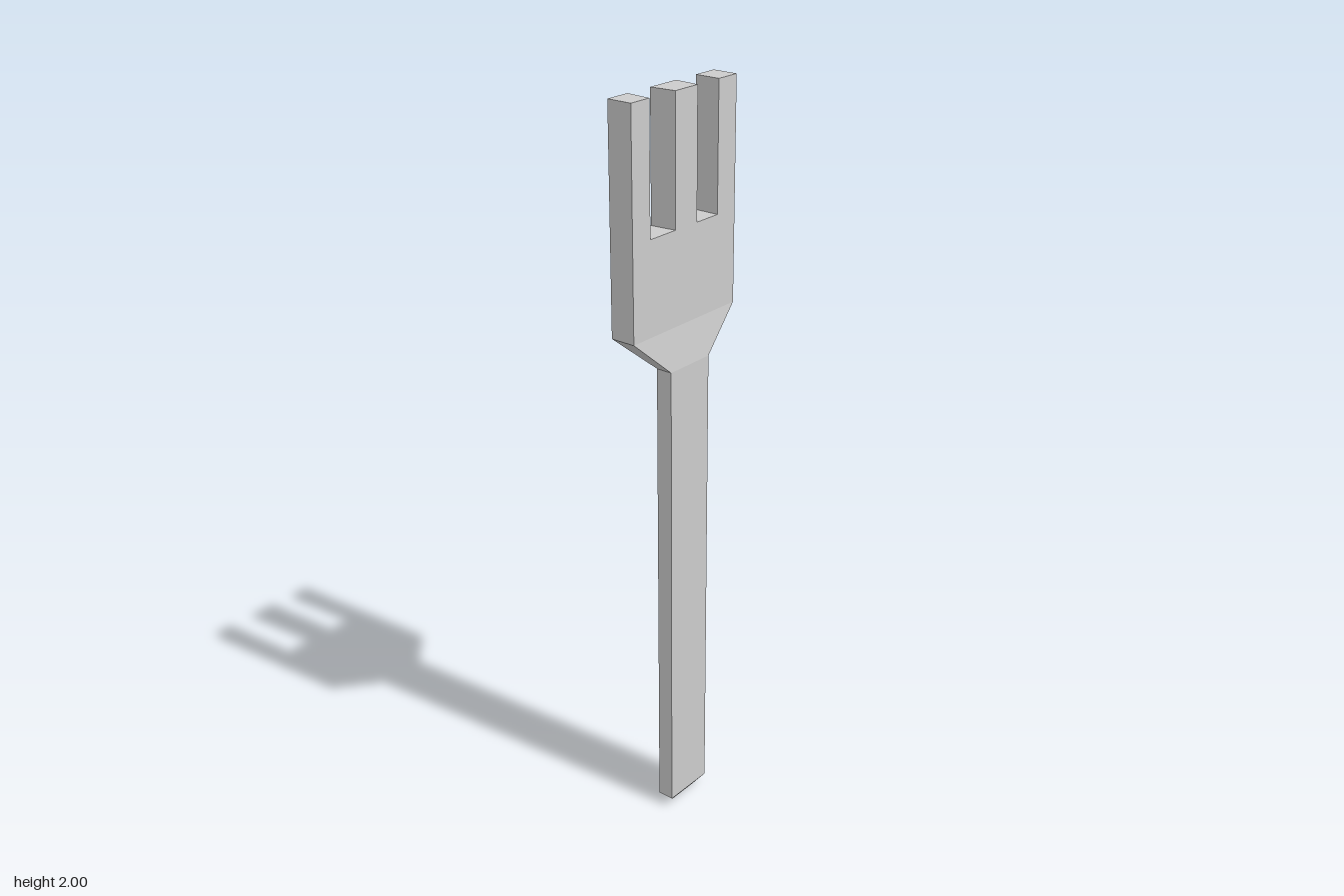
import * as THREE from 'three';

const material = new THREE.MeshStandardMaterial({ color: 0xcccccc, flatShading: true });
const HEAD_X = [-0.043, 0.026];
const SLOT_Y = 1.67, TOP_Y = 2;

// Ring of four corners at height y; z limits may differ on the two x sides.
function ring(y, [x0, x1], [a0, a1], [b0, b1] = [a0, a1]) {
  return [[x0, y, a0], [x0, y, a1], [x1, y, b1], [x1, y, b0]];
}

// Skin rings from bottom to top, optionally closing the top.
function loft(name, rings, capTop = false) {
  const pos = [];
  const quad = (a, b, c, d) => pos.push(...a, ...b, ...c, ...a, ...c, ...d);
  for (let r = 0; r < rings.length - 1; r++) {
    const lo = rings[r], hi = rings[r + 1];
    for (let i = 0; i < 4; i++) {
      const j = (i + 1) % 4;
      quad(lo[i], lo[j], hi[j], hi[i]);
    }
  }
  if (capTop) quad(...rings[rings.length - 1]);
  const geometry = new THREE.BufferGeometry();
  geometry.setAttribute('position', new THREE.Float32BufferAttribute(pos, 3));
  geometry.computeVertexNormals();
  const mesh = new THREE.Mesh(geometry, material);
  mesh.name = name;
  return mesh;
}

export function createModel() {
  const group = new THREE.Group();
  group.name = 'fork';

  // Handle with a wedge-shaped end
  const grip = [-0.003, 0.042], gripZ = [-0.074, 0.074], headZ = [-0.194, 0.194];
  const neck = ring(1.32, grip, gripZ), shoulder = ring(1.425, HEAD_X, headZ);
  group.add(loft('handle', [
    ring(0, [0.019, 0.019], [-0.042, 0.042]),
    ring(0.03, grip, gripZ),
    neck,
  ]));

  // Flared neck, then the flat head up to the slot floors
  group.add(loft('neck', [neck, shoulder]));
  group.add(loft('head', [shoulder, ring(SLOT_Y, HEAD_X, headZ)]));

  // Tines and slot floors alternate across the head; cuts are slightly skewed
  const cutsA = [-0.194, -0.125, -0.05, 0.045, 0.125, 0.194];
  const cutsB = [-0.194, -0.125, -0.045, 0.037, 0.13, 0.194];
  for (let i = 0; i < 5; i++) {
    const a = cutsA.slice(i, i + 2), b = cutsB.slice(i, i + 2);
    const base = ring(SLOT_Y, HEAD_X, a, b);
    group.add(i % 2 === 0
      ? loft('tine', [base, ring(TOP_Y, HEAD_X, a, b)], true)
      : loft('slotFloor', [base], true));
  }
  return group;
}
